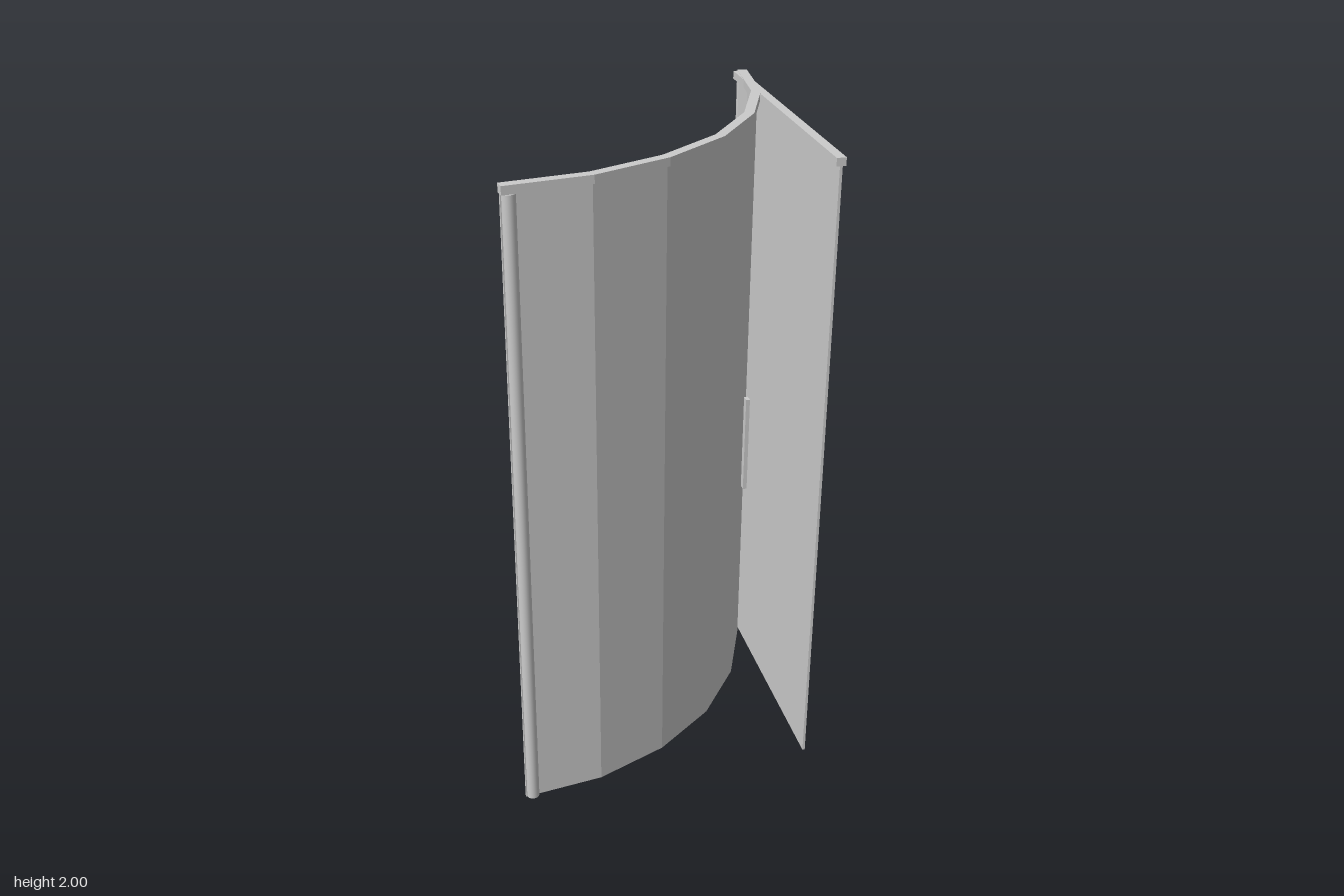
import * as THREE from 'three';

const metal = new THREE.MeshStandardMaterial({ color: 0xcccccc, flatShading: true });
const smoothMetal = new THREE.MeshStandardMaterial({ color: 0xcccccc });
const HEIGHT = 2, RAIL_Y = 1.975;

// Plan of the curved screen as [x, z], mirrored about the diagonal x = -z
const half = [[-0.478, 0.458], [-0.23, 0.426], [-0.006, 0.333], [0.187, 0.187]];
const plan = [...half, [0.333, -0.006], [0.426, -0.23], [0.46, -0.478]];

// Offsets the plan line sideways, with mitred corners
function offset(points, d) {
  const v = points.map(([x, z]) => new THREE.Vector2(x, z));
  return v.map((p, i) => {
    const a = v[Math.max(i - 1, 0)], b = v[Math.min(i + 1, v.length - 1)];
    const normal = (s, e) => { const t = e.clone().sub(s).normalize(); return new THREE.Vector2(-t.y, t.x); };
    const n1 = i > 0 ? normal(a, p) : normal(p, b);
    const n2 = i < v.length - 1 ? normal(p, b) : n1;
    const m = n1.clone().add(n2).normalize();
    return p.clone().addScaledVector(m, d / m.dot(n1));
  });
}

// Upright strip of constant thickness following the plan
function strip(name, points, thickness, y0, y1) {
  const outline = [...offset(points, thickness / 2), ...offset(points, -thickness / 2).reverse()];
  const shape = new THREE.Shape(outline.map(p => new THREE.Vector2(p.x, -p.y)));
  const geo = new THREE.ExtrudeGeometry(shape, { depth: y1 - y0, bevelEnabled: false });
  geo.rotateX(-Math.PI / 2);
  const mesh = new THREE.Mesh(geo, metal);
  mesh.position.y = y0;
  mesh.name = name;
  return mesh;
}

function box(name, x0, x1, y0, y1, z0, z1) {
  const mesh = new THREE.Mesh(new THREE.BoxGeometry(x1 - x0, y1 - y0, z1 - z0), metal);
  mesh.position.set((x0 + x1) / 2, (y0 + y1) / 2, (z0 + z1) / 2);
  mesh.name = name;
  return mesh;
}

function post(name, x, z) {
  const mesh = new THREE.Mesh(new THREE.CylinderGeometry(0.02, 0.02, RAIL_Y, 20), smoothMetal);
  mesh.position.set(x, RAIL_Y / 2, z);
  mesh.name = name;
  return mesh;
}

export function createModel() {
  const group = new THREE.Group();
  group.name = 'showerScreen';

  // Curved screen
  group.add(strip('curvedGlass', plan, 0.008, 0, RAIL_Y));
  group.add(strip('curvedTopRail', plan, 0.03, RAIL_Y, HEIGHT));

  // Flat side screen
  group.add(box('flatGlass', 0.439, 0.447, 0, RAIL_Y, -0.465, 0.457));
  group.add(box('flatTopRail', 0.429, 0.457, RAIL_Y, HEIGHT - 0.001, -0.472, 0.457));

  // Posts where the screens meet the walls
  group.add(post('rightWallPost', -0.455, 0.456));
  group.add(post('backWallPost', 0.457, -0.455));

  // Door handle
  group.add(box('doorHandle', 0.282, 0.294, 0.87, 1.18, 0.194, 0.215));
  return group;
}
